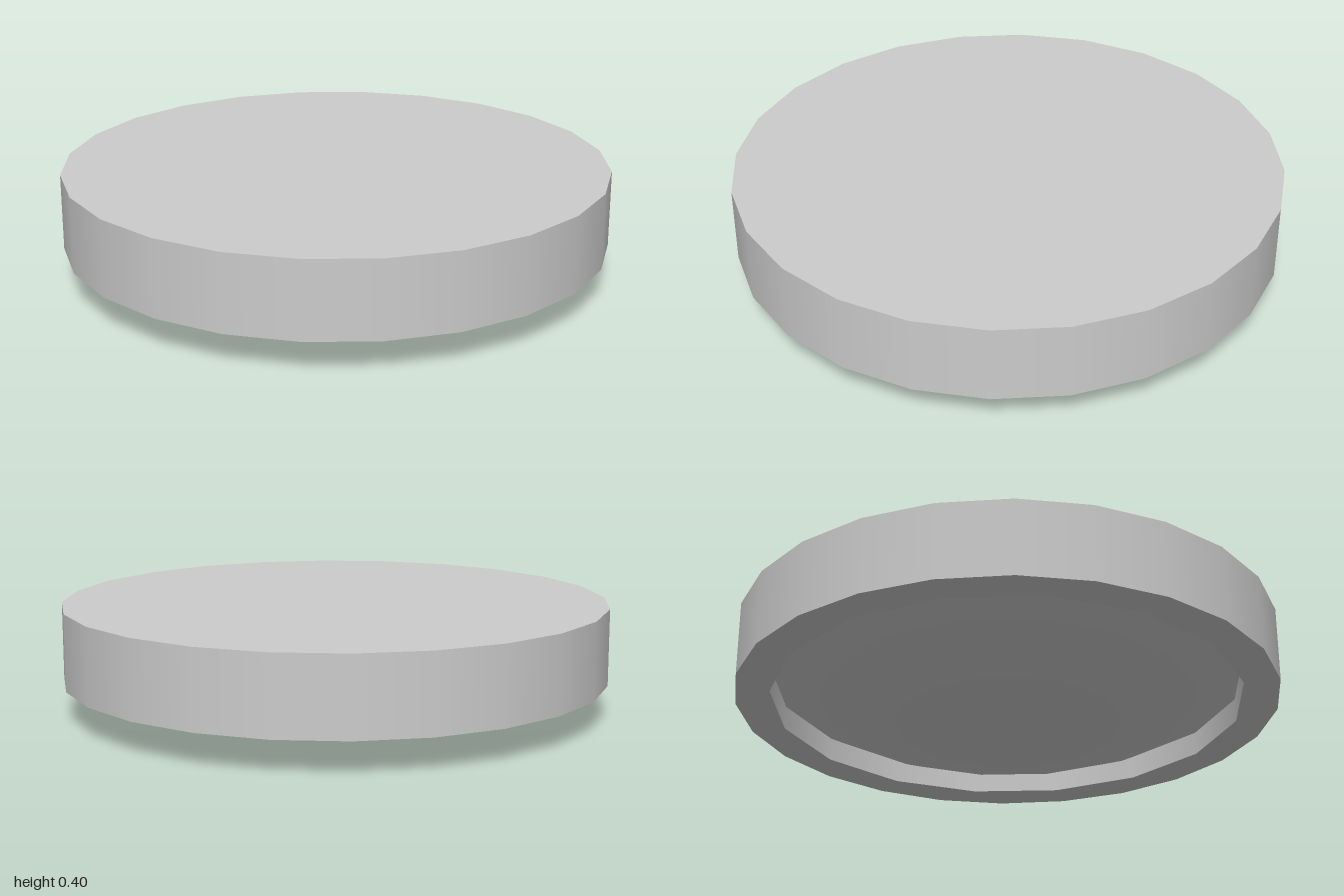
import * as THREE from 'three';

const OUTER = 1, INNER = 0.87, BOTTOM = 0.12, TOP = 0.4;
const OUTER_SIDES = 24, INNER_SIDES = 16;

// Regular polygon with its first corner on the x axis
function polygon(radius, sides) {
  return Array.from({ length: sides }, (_, i) => {
    const a = (i / sides) * Math.PI * 2;
    return new THREE.Vector2(radius * Math.cos(a), radius * Math.sin(a));
  });
}

export function createModel() {
  const group = new THREE.Group();
  group.name = 'domedDisc';
  const material = new THREE.MeshStandardMaterial({ color: 0xcccccc });
  const thin = new THREE.MeshStandardMaterial({ color: 0xcccccc, side: THREE.DoubleSide });

  function add(name, geometry, mat = material, y = 0) {
    const mesh = new THREE.Mesh(geometry, mat);
    mesh.name = name;
    mesh.position.y = y;
    group.add(mesh);
  }

  // Smooth outer wall and flat top
  const height = TOP - BOTTOM;
  add('outerWall', new THREE.CylinderGeometry(OUTER, OUTER, height, OUTER_SIDES, 1, true), material, BOTTOM + height / 2);
  add('topFace', new THREE.CircleGeometry(OUTER, OUTER_SIDES).rotateX(-Math.PI / 2), material, TOP);

  // Flat underside of the rim, with a coarser opening
  const rim = new THREE.Shape(polygon(OUTER, OUTER_SIDES));
  rim.holes.push(new THREE.Path(polygon(INNER, INNER_SIDES)));
  add('rimUnderside', new THREE.ShapeGeometry(rim).rotateX(Math.PI / 2), material, BOTTOM);

  // Short inner wall from the rim up to the dome's edge
  const edgeY = 0.21;
  add('innerWall', new THREE.CylinderGeometry(INNER, INNER, edgeY - BOTTOM, INNER_SIDES, 1, true), thin, (edgeY + BOTTOM) / 2);

  // Shallow dome bulging out of the underside
  const profile = [[0, 0], [0.2, 0.011], [0.4, 0.041], [0.57, 0.083], [0.69, 0.123], [0.79, 0.167], [INNER, edgeY]];
  add('dome', new THREE.LatheGeometry(profile.map(([r, y]) => new THREE.Vector2(r, y)), INNER_SIDES), thin);

  return group;
}
